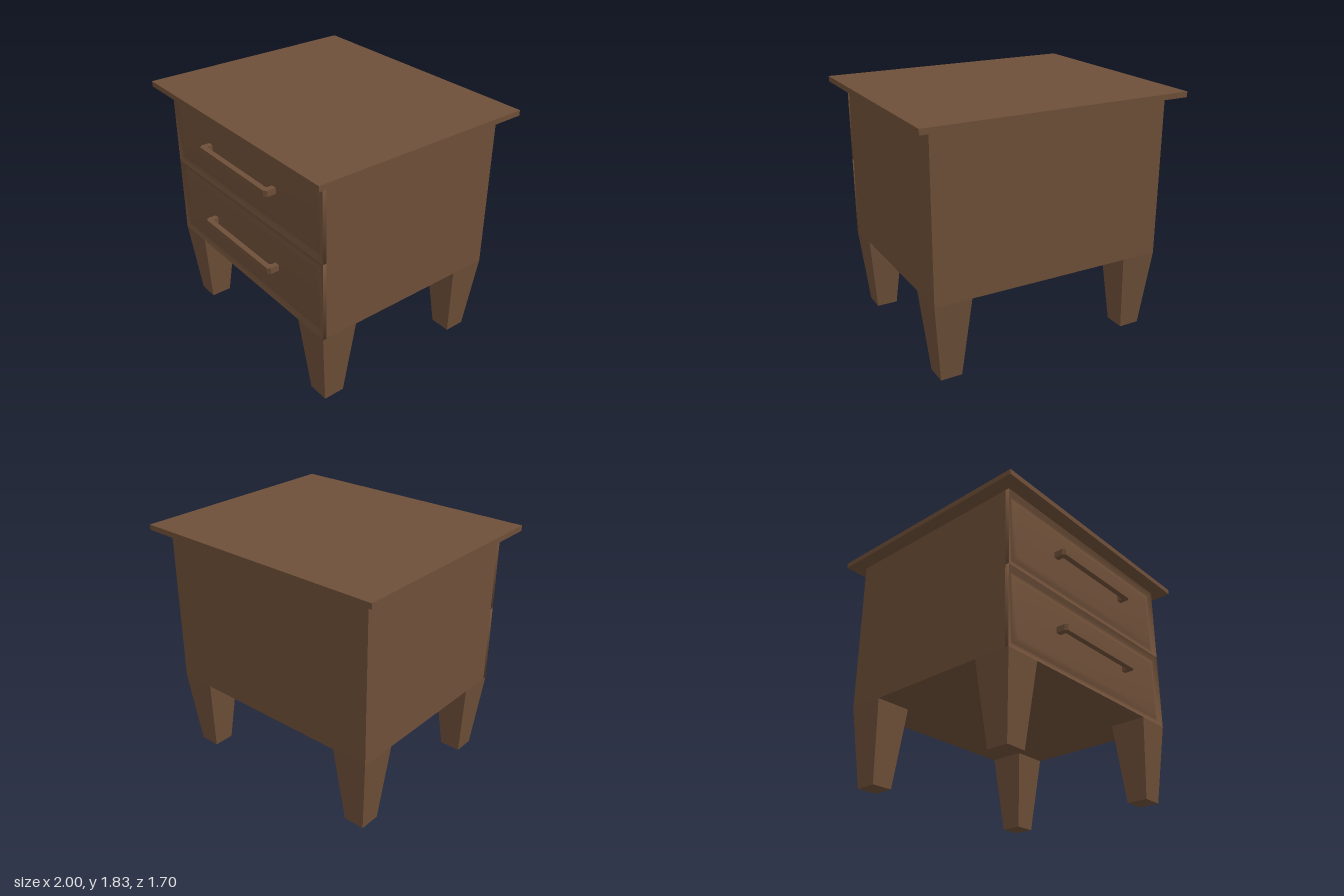
import * as THREE from 'three';

const wood = new THREE.MeshStandardMaterial({ color: 0x6f5039 });
wood.name = 'brown wood';

function add(parent, name, geometry, x = 0, y = 0, z = 0) {
  const mesh = new THREE.Mesh(geometry, wood);
  mesh.name = name;
  mesh.position.set(x, y, z);
  parent.add(mesh);
  return mesh;
}

// Rectangular rings [inset, z] joined from the outside in; optionally closed by a centre face
function ringPanel(w, h, rings, closed) {
  const pos = [], index = [];
  for (const [inset, z] of rings) {
    const x = w / 2 - inset, y = h / 2 - inset;
    pos.push(-x, -y, z, x, -y, z, x, y, z, -x, y, z);
  }
  for (let r = 0; r < rings.length - 1; r++) {
    for (let i = 0; i < 4; i++) {
      const a = r * 4 + i, b = r * 4 + (i + 1) % 4;
      index.push(a, b, b + 4, a, b + 4, a + 4);
    }
  }
  if (closed) {
    const c = (rings.length - 1) * 4;
    index.push(c, c + 1, c + 2, c, c + 2, c + 3);
  }
  const g = new THREE.BufferGeometry();
  g.setAttribute('position', new THREE.Float32BufferAttribute(pos, 3));
  g.setIndex(index);
  g.computeVertexNormals();
  return g;
}

// Box narrowed towards the floor
function legGeometry() {
  const g = new THREE.BoxGeometry(0.275, 0.6, 0.28).toNonIndexed();
  const p = g.attributes.position;
  for (let i = 0; i < p.count; i++) {
    if (p.getY(i) < 0) {
      p.setX(i, Math.sign(p.getX(i)) * 0.08);
      p.setZ(i, Math.sign(p.getZ(i)) * 0.08);
    }
  }
  g.computeVertexNormals();
  return g;
}

// U-shaped pull with chamfered corners, drawn in plan and extruded upright
function handleGeometry() {
  const shape = new THREE.Shape([
    [-0.41, 0], [-0.41, 0.065], [-0.39, 0.085], [0.39, 0.085], [0.41, 0.065], [0.41, 0],
    [0.37, 0], [0.37, 0.035], [0.36, 0.045], [-0.36, 0.045], [-0.37, 0.035], [-0.37, 0],
  ].map(([x, y]) => new THREE.Vector2(x, y)));
  const g = new THREE.ExtrudeGeometry(shape, { depth: 0.045, bevelEnabled: false });
  return g.translate(0, 0, -0.0225).rotateX(Math.PI / 2);
}

export function createModel() {
  const model = new THREE.Group();
  model.name = 'nightstand';

  add(model, 'tableTop', new THREE.BoxGeometry(2, 0.04, 1.7), 0, 1.812, 0);
  add(model, 'cabinet', new THREE.BoxGeometry(1.79, 1.192, 1.46), 0, 1.196, -0.015);

  // Two drawers with a grooved border and a pull
  [['lowerDrawer', 0.898], ['upperDrawer', 1.494]].forEach(([name, y]) => {
    const drawer = new THREE.Group();
    drawer.name = name;
    drawer.position.set(0, y, 0.745);
    add(drawer, 'drawerEdge', ringPanel(1.79, 0.596, [[0, -0.03], [0, 0]], false));
    add(drawer, 'drawerFront', ringPanel(1.79, 0.596,
      [[0, 0], [0.035, -0.02], [0.057, -0.02], [0.092, 0]], true));
    add(drawer, 'handle', handleGeometry(), 0, 0.01, 0);
    model.add(drawer);
  });

  // Four tapered legs
  for (const [zName, sz] of [['front', 1], ['back', -1]]) {
    for (const [xName, sx] of [['Left', 1], ['Right', -1]]) {
      add(model, `${zName}${xName}Leg`, legGeometry(), sx * 0.7575, 0.3, sz * 0.605);
    }
  }
  return model;
}
